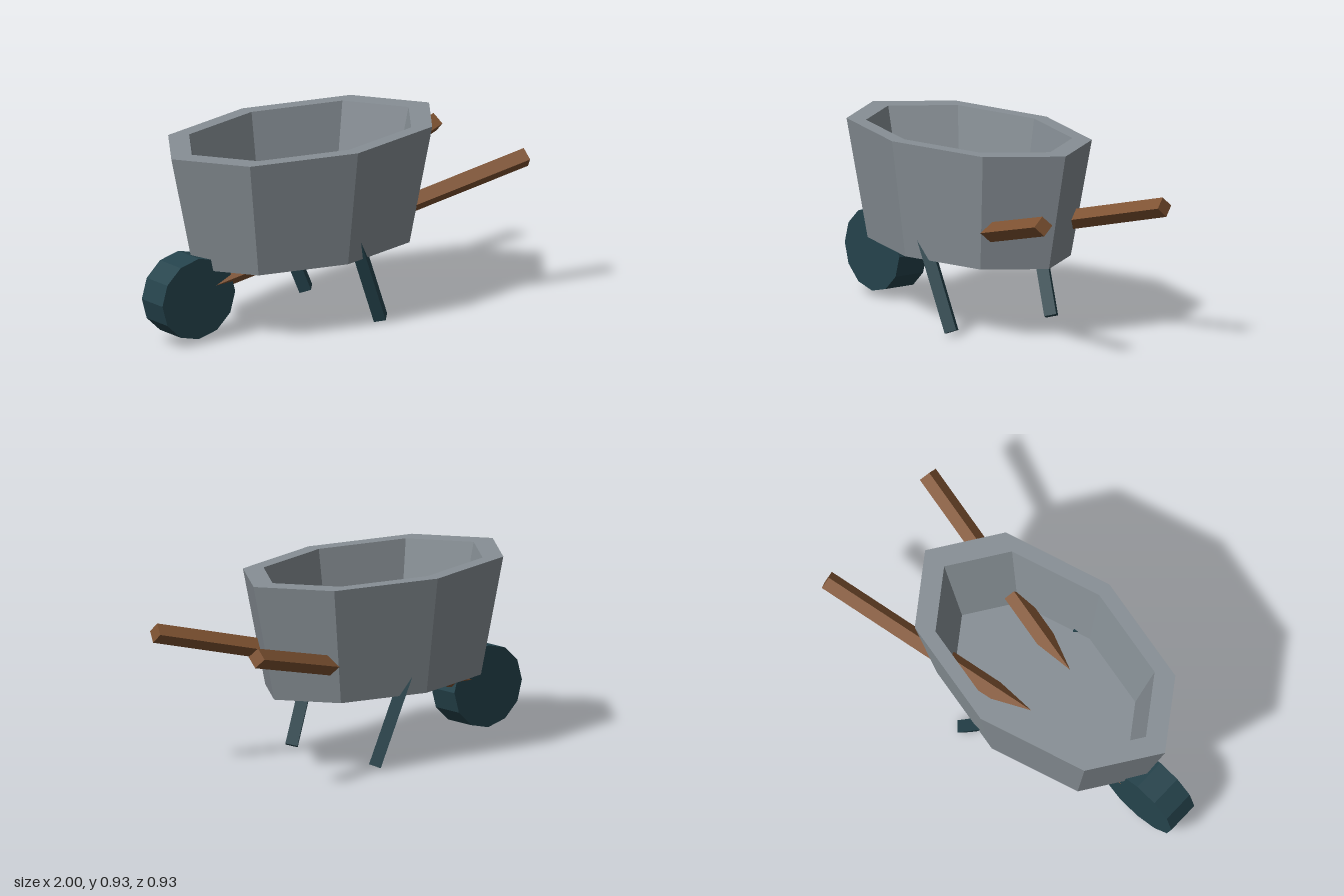
import * as THREE from 'three';

const mat = (name, color) => new THREE.MeshStandardMaterial({ name, color, flatShading: true });

// Give every facet its own flat normals
function faceted(geometry) {
  const g = geometry.toNonIndexed();
  g.computeVertexNormals();
  return g;
}

// Square bar from a to b, turned so its corners point along "up"
function bar(name, a, b, halfDiagonal, up, material) {
  const start = new THREE.Vector3(...a), end = new THREE.Vector3(...b);
  const side = halfDiagonal * Math.SQRT2;
  const mesh = new THREE.Mesh(new THREE.BoxGeometry(side, side, start.distanceTo(end)), material);
  mesh.name = name;
  mesh.up.set(...up);
  mesh.position.addVectors(start, end).multiplyScalar(0.5);
  mesh.lookAt(end);
  mesh.rotateZ(Math.PI / 4);
  return mesh;
}

export function createModel() {
  const metal = mat('grey metal', 0x878f95);
  const wood = mat('brown wood', 0x7f5332);
  const iron = mat('dark teal iron', 0x25434c);
  const model = new THREE.Group();
  model.name = 'wheelbarrow';

  // Thick-walled eight-sided tub, stretched along x
  const profile = [[0, 0.355], [0.385, 0.355], [0.465, 0.935], [0.391, 0.935], [0.322, 0.459], [0, 0.459]]
    .map(([r, y]) => new THREE.Vector2(r, y));
  const tubShape = new THREE.LatheGeometry(profile, 8);
  tubShape.scale(1.676, 1, 1);
  const tub = new THREE.Mesh(faceted(tubShape), metal);
  tub.name = 'tub';
  tub.position.x = -0.105;
  model.add(tub);

  // Twelve-sided wheel on a sideways axle
  const wheelShape = new THREE.CylinderGeometry(1, 1, 0.166, 12);
  wheelShape.rotateX(Math.PI / 2);
  wheelShape.scale(0.22, 0.203, 1);
  const wheel = new THREE.Mesh(faceted(wheelShape), iron);
  wheel.name = 'wheel';
  wheel.position.set(-0.78, 0.23, 0);
  model.add(wheel);

  // Handles run through the tub down to the wheel; legs splay from the floor
  for (const [label, s] of [['front', 1], ['back', -1]]) {
    model.add(bar(label + 'Handle', [-0.7, 0.27, 0.029 * s], [0.985, 0.692, 0.365 * s], 0.048, [0, 1, 0], wood));
    model.add(bar(label + 'Leg', [0.155, 0.017, 0.3 * s], [-0.03, 0.475, 0.337 * s], 0.042, [1, 0, 0], iron));
  }
  return model;
}
